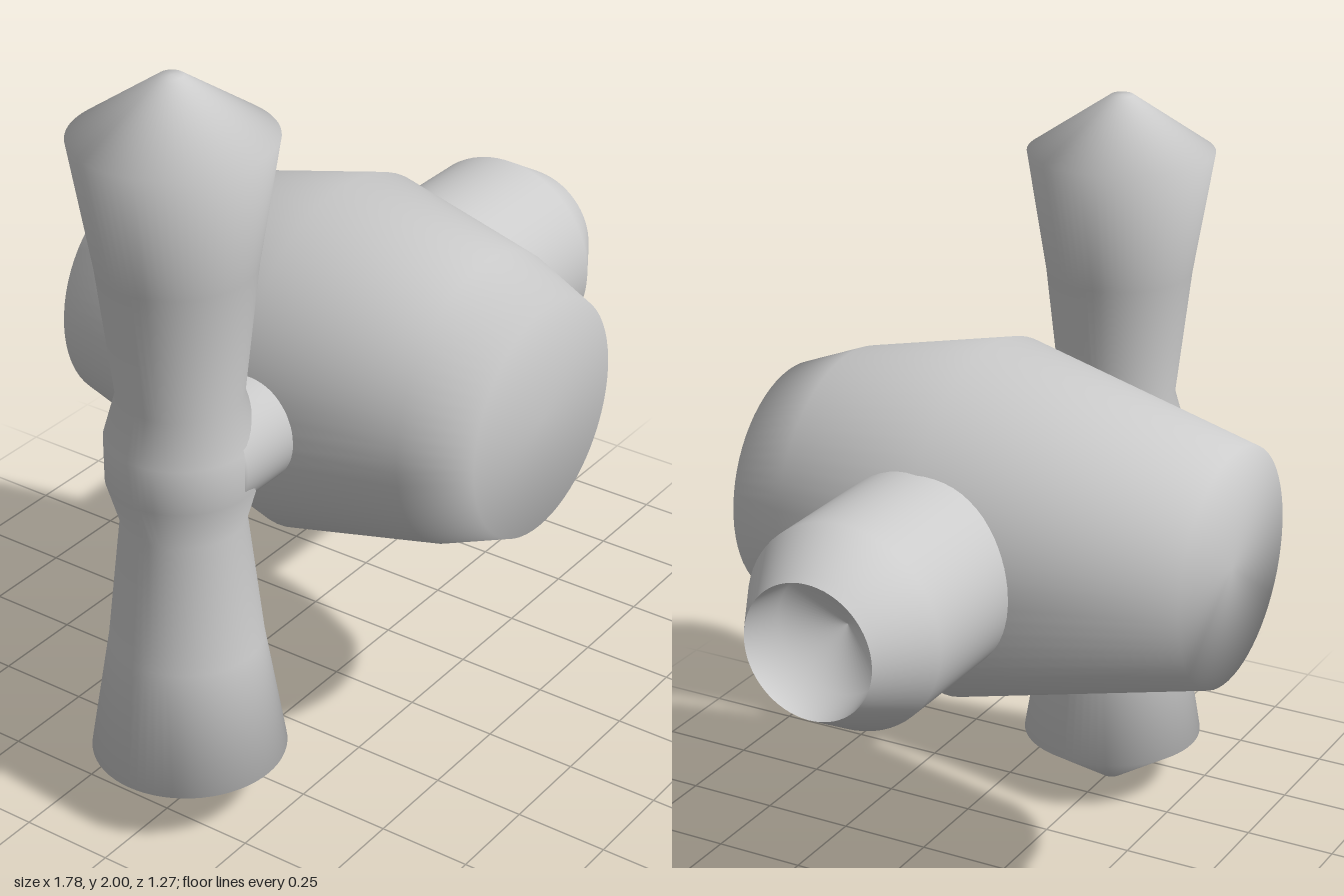
import * as THREE from 'three';

const material = new THREE.MeshStandardMaterial({ color: 0xcccccc });

// Smooth turned part from [radius, height] pairs, listed bottom to top
function turned(name, profile) {
  const points = profile.map(([r, h]) => new THREE.Vector2(r, h));
  const mesh = new THREE.Mesh(new THREE.LatheGeometry(points, 64), material);
  mesh.name = name;
  return mesh;
}

export function createModel() {
  const group = new THREE.Group();
  group.name = 'tap';

  // Upright handle, mirrored about its middle collar
  const half = [[0.19, 0.06], [0.157, 0.175], [0.196, 0.52], [0.25, 0.85], [0.03, 1], [0, 1]];
  const handle = turned('handle', [
    ...half.map(([r, h]) => [r, -h]).reverse(),
    ...half,
  ]);
  handle.position.set(-0.642, 1, -0.005);

  // Barrel body lying along z, widest near the middle
  const body = turned('body', [
    [0, -0.637], [0.312, -0.637], [0.475, 0.04], [0.382, 0.46], [0.312, 0.637], [0, 0.637],
  ]);
  body.rotation.x = Math.PI / 2;
  body.position.set(-0.018, 1.02, 0);

  // Spout along +x with a bevelled lip and a hollow mouth
  const spout = turned('spout', [
    [0.27, 0.1], [0.27, 0.725], [0.192, 0.86], [0.177, 0.885],
  ]);
  const mouth = turned('spoutMouth', [[0.177, 0.885], [0.16, 0.76], [0, 0.7]]);

  // Short stem joining the handle to the body
  const stem = turned('stem', [[0, -0.64], [0.15, -0.64], [0.15, -0.2]]);

  for (const part of [spout, mouth, stem]) {
    part.rotation.z = -Math.PI / 2;
    part.position.set(0, 1.01, 0.045);
  }

  group.add(handle, body, spout, mouth, stem);
  return group;
}
